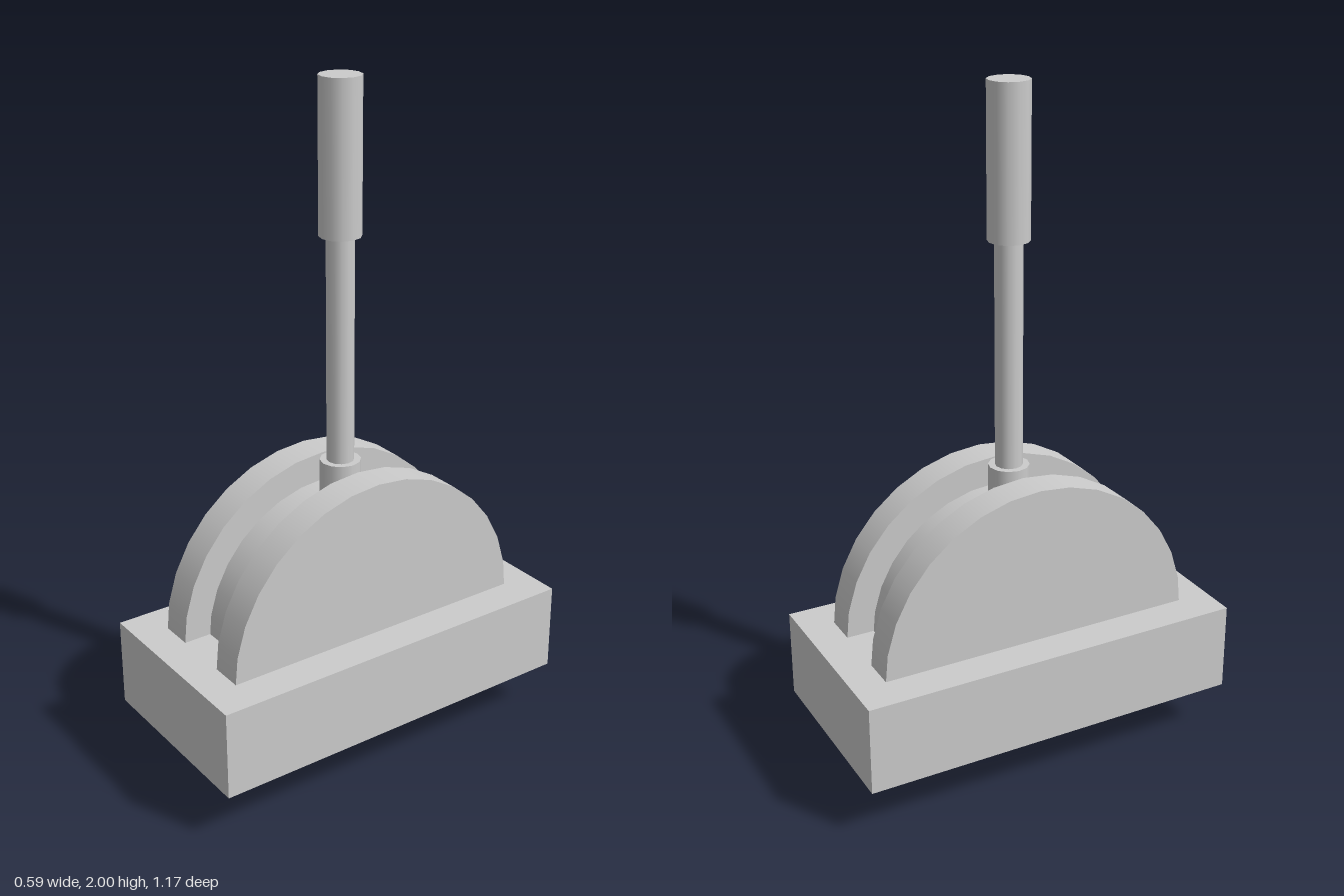
import * as THREE from 'three';

const material = new THREE.MeshStandardMaterial({ color: 0xcccccc });

function add(group, name, geometry, x, y, z = 0) {
  const mesh = new THREE.Mesh(geometry, material);
  mesh.name = name;
  mesh.position.set(x, y, z);
  group.add(mesh);
  return mesh;
}

export function createModel() {
  const group = new THREE.Group();
  group.name = 'lever';

  // Base block
  add(group, 'base', new THREE.BoxGeometry(0.59, 0.267, 1.17), 0, 0.2875);

  // Half-disc guides on both sides; their flat bottoms sit inside the base
  for (const side of [-1, 1]) {
    const disc = new THREE.CylinderGeometry(0.487, 0.487, 0.1, 16, 1, false, 0, Math.PI);
    disc.rotateZ(Math.PI / 2);
    add(group, side > 0 ? 'leftGuide' : 'rightGuide', disc, side * 0.136, 0.407);
  }

  // Open drum between the guides, reaching below the base
  const drum = new THREE.CylinderGeometry(0.404, 0.404, 0.187, 32, 1, true);
  drum.rotateZ(Math.PI / 2);
  add(group, 'drum', drum, 0, 0.404);

  // Collar, shaft and grip: [name, radius, bottom, top]
  const stick = [
    ['collar', 0.06, 0.78, 0.905],
    ['shaft', 0.04, 0.85, 1.6],
    ['grip', 0.06, 1.567, 2],
  ];
  for (const [name, radius, bottom, top] of stick) {
    const geometry = new THREE.CylinderGeometry(radius, radius, top - bottom, 12);
    add(group, name, geometry, 0, (bottom + top) / 2);
  }

  return group;
}
